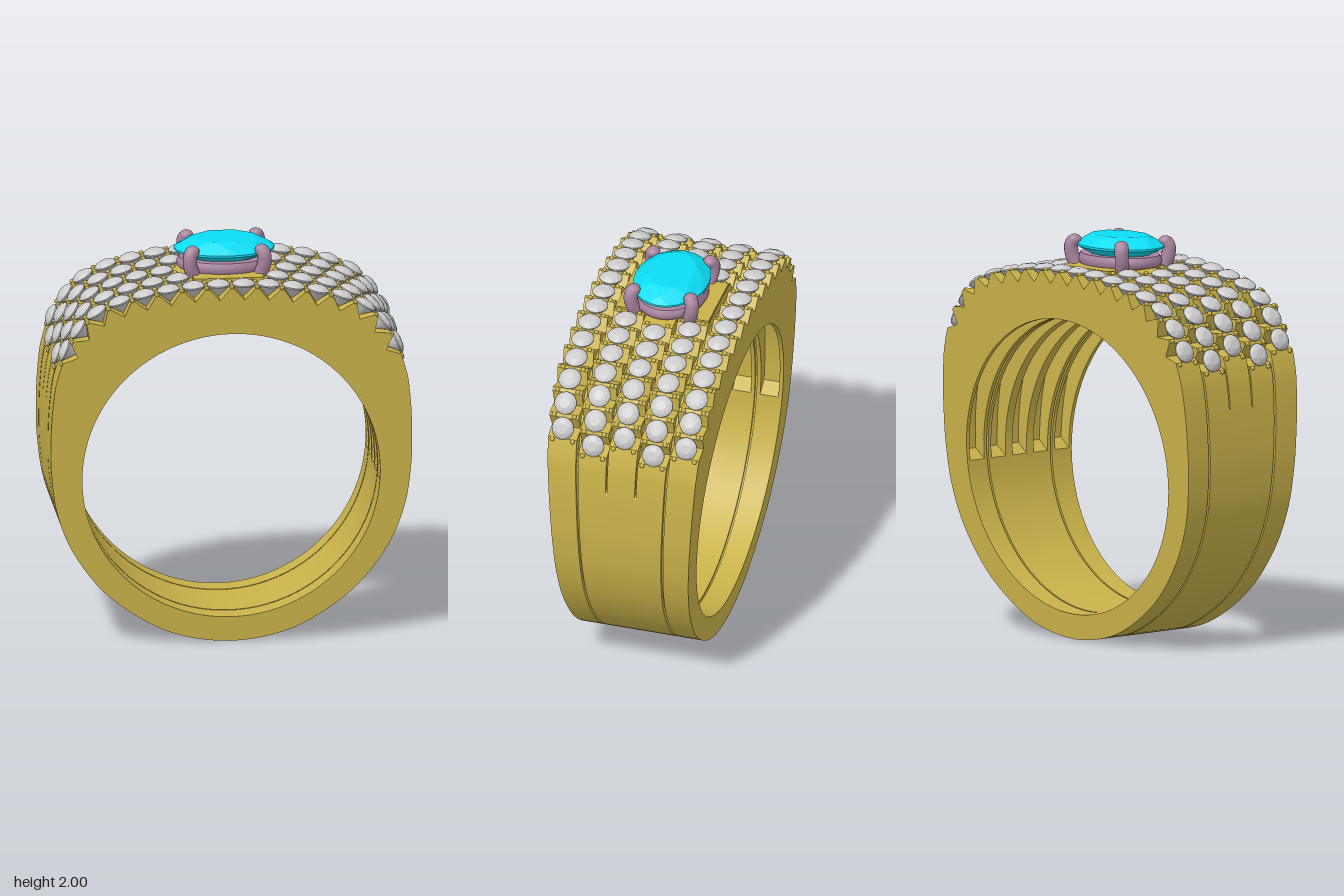
import * as THREE from 'three';
import { toCreasedNormals } from 'three/addons/utils/BufferGeometryUtils.js';
import { ConvexGeometry } from 'three/addons/geometries/ConvexGeometry.js';

const V2 = (x, y) => new THREE.Vector2(x, y);
const CY = 0.87;          // height of the finger hole centre
const R = 0.74;           // finger hole radius
const halfWidth = (y) => 0.297 + 0.062 * y; // band widens towards the top

const mirrorX = (pts) => [...pts, ...pts.slice(0, -1).reverse().map(([x, y]) => [-x, y])];
const spline = (pts) => new THREE.SplineCurve(pts.map(([x, y]) => V2(x, y)));

// Lower outline from right shoulder round to left shoulder
const shank = spline(mirrorX([[0.862, 1.41], [0.878, 1.34], [0.892, 1.2], [0.897, 1.05], [0.893, 0.9],
  [0.865, 0.7], [0.79, 0.5], [0.65, 0.3], [0.47, 0.15], [0.26, 0.045], [0, 0.004]]));
// Upper outline that carries the stones, left to right
const crown = spline(mirrorX([[-0.862, 1.41], [-0.85, 1.45], [-0.8, 1.57], [-0.7, 1.695],
  [-0.57, 1.765], [-0.4, 1.81], [-0.2, 1.838], [0, 1.845]]));
crown.arcLengthDivisions = 600;
const L = crown.getLength();
const STEP = L / 17;

// Point on the crown at arc distance s from the middle, raised by h
function onCrown(s, h = 0) {
  const t = THREE.MathUtils.clamp(0.5 + s / L, 0, 1);
  const p = crown.getPointAt(t), d = crown.getTangentAt(t);
  const n = V2(-d.y, d.x);
  return { p: p.addScaledVector(n, h), n };
}

// Stone rows: centre as a fraction of half width, and arc positions of the stones
const both = (a) => [...a.map((s) => -s).reverse(), ...a];
const rowSteps = (from, to) => both(Array.from({ length: to - from + 1 }, (_, i) => (from + i) * STEP));
const rows = [
  { u: 0, stones: rowSteps(2.5, 7.5) },
  { u: 0.4, stones: rowSteps(2, 8) },
  { u: -0.4, stones: rowSteps(2, 8) },
  { u: 0.81, stones: rowSteps(0.5, 7.5) },
  { u: -0.81, stones: rowSteps(0.5, 7.5) },
];

// Ring outline with V seats for the stones
function notchedOutline(stones) {
  const pts = shank.getPoints(96);
  const marks = [];
  for (let i = 1; i < 68; i++) {
    const s = (i / 68 - 0.5) * L;
    if (!stones.some((c) => Math.abs(c - s) < 0.054)) marks.push([s, 0]);
  }
  for (const c of stones) marks.push([c - 0.052, 0], [c, -0.06], [c + 0.052, 0]);
  marks.sort((a, b) => a[0] - b[0]);
  return [...pts, ...marks.map(([s, h]) => onCrown(s, h).p)];
}

// Plain outline sunk towards the centre, for the grooves between bands
function sunkOutline(depthAt) {
  return notchedOutline([]).map((p) => {
    const r = V2(p.x, p.y - CY), len = r.length();
    return V2(0, CY).addScaledVector(r, (len - depthAt(p.y)) / len);
  });
}

// Finger hole; a pocket hole is hollowed out in its upper half
function holePath(radius, pocket) {
  const pts = [];
  for (let i = 0; i < 96; i++) {
    const a = (i / 96) * Math.PI * 2, c = Math.cos(a), s = Math.sin(a);
    if (pocket && i <= 48) {
      const e = 2 / 2.4;
      pts.push(V2(0.8 * Math.sign(c) * Math.abs(c) ** e, CY + 0.86 * Math.abs(s) ** e));
    } else pts.push(V2(radius * c, CY + radius * s));
  }
  return new THREE.Path(pts);
}

// One slice of the ring between width fractions u0 and u1
function slice(outline, hole, u0, u1) {
  const shape = new THREE.Shape(outline);
  shape.holes.push(hole);
  const g = new THREE.ExtrudeGeometry(shape, { depth: u1 - u0, bevelEnabled: false, curveSegments: 1 });
  const p = g.attributes.position;
  for (let i = 0; i < p.count; i++) p.setZ(i, (p.getZ(i) + u0) * halfWidth(p.getY(i)));
  return toCreasedNormals(g, 0.45);
}

// Faceted gem: rings of [radius, y, sides, turn], scaled in x and z
function gemGeometry(rings, sx, sz) {
  const pts = [];
  for (const [r, y, n, turn] of rings) {
    for (let i = 0; i < n; i++) {
      const a = ((i + turn) / n) * Math.PI * 2;
      pts.push(new THREE.Vector3(Math.cos(a) * r * sx, y, Math.sin(a) * r * sz));
    }
  }
  return new ConvexGeometry(pts);
}

export function createModel() {
  const root = new THREE.Group();
  const gold = new THREE.MeshStandardMaterial({ color: 0xc9b24a });
  const mauve = new THREE.MeshStandardMaterial({ color: 0xa9859f });
  const grey = new THREE.MeshStandardMaterial({ color: 0xcccccc, flatShading: true });
  const blue = new THREE.MeshStandardMaterial({ color: 0x0cdcf2, flatShading: true });
  const add = (parent, name, geo, mat) => {
    const m = new THREE.Mesh(geo, mat);
    m.name = name;
    parent.add(m);
    return m;
  };

  // Five bands, each hollowed from inside between two ribs
  const band = new THREE.Group();
  band.name = 'band';
  root.add(band);
  for (const { u, stones } of rows) {
    const outline = notchedOutline(stones), w = 0.19;
    add(band, 'rib', slice(outline, holePath(R), u - w, u - 0.135), gold);
    add(band, 'hollowBand', slice(outline, holePath(R, true), u - 0.135, u + 0.135), gold);
    add(band, 'rib', slice(outline, holePath(R), u + 0.135, u + w), gold);
  }
  // Grooves between the bands; the inner pair fades out below the shoulder
  for (const side of [-1, 1]) {
    const inner = sunkOutline((y) => (y > 1.42 ? 0.05 : y > 1.22 ? 0.018 : 0));
    const outer = sunkOutline((y) => (y > 1.42 ? 0.05 : 0.02));
    add(band, 'innerGroove', slice(inner, holePath(R), side * 0.2 - 0.0105, side * 0.2 + 0.0105), gold);
    add(band, 'outerGroove', slice(outer, holePath(R + 0.012), side * 0.605 - 0.0155, side * 0.605 + 0.0155), gold);
  }

  // Small round stones with prongs in the gaps
  const pave = new THREE.Group();
  pave.name = 'smallStones';
  root.add(pave);
  const stoneGeo = gemGeometry([[0.026, 0.024, 8, 0], [0.045, 0.016, 8, 0.5], [0.057, 0.004, 16, 0],
    [0.057, -0.002, 16, 0], [0.003, -0.058, 4, 0]], 1, 1);
  const prongGeo = new THREE.CapsuleGeometry(0.012, 0.045, 3, 8);
  const place = (mesh, s, z, h) => {
    const { p, n } = onCrown(s, h);
    mesh.position.set(p.x, p.y, z(p.y));
    mesh.rotation.z = Math.atan2(-n.x, n.y);
  };
  for (const { u, stones } of rows) {
    for (const s of stones) {
      place(add(pave, 'smallStone', stoneGeo, grey), s, (y) => u * halfWidth(y), 0.002);
      for (const ds of [-0.5, 0.5]) {
        for (const dz of [-1, 1]) {
          if (ds < 0 && stones.some((c) => Math.abs(c - s + STEP) < 0.01)) continue; // shared with neighbour
          place(add(pave, 'smallProng', prongGeo, gold), s + ds * STEP,
            (y) => u * halfWidth(y) + dz * 0.052, -0.022);
        }
      }
    }
  }

  // Flat plate under the centre setting
  add(root, 'settingPlate', new THREE.BoxGeometry(0.35, 0.08, 0.48), gold).position.y = 1.812;

  // Oval gallery ring of the setting
  const setting = new THREE.Group();
  setting.name = 'centreSetting';
  root.add(setting);
  const profile = [[0.72, 1.85], [0.95, 1.85], [1, 1.865], [1, 1.885], [0.95, 1.905], [0.72, 1.905], [0.72, 1.85]];
  const gallery = new THREE.LatheGeometry(profile.map(([x, y]) => V2(x, y)), 48);
  gallery.scale(0.235, 1, 0.18);
  add(setting, 'gallery', toCreasedNormals(gallery, 0.7), mauve);

  // Four claws bending over the gem
  for (const sx of [-1, 1]) {
    for (const sz of [-1, 1]) {
      const path = new THREE.CatmullRomCurve3([[0.17, 1.85, 0.142], [0.184, 1.9, 0.155],
        [0.184, 1.945, 0.157], [0.172, 1.968, 0.147]].map(([x, y, z]) => new THREE.Vector3(sx * x, y, sz * z)));
      add(setting, 'claw', new THREE.TubeGeometry(path, 12, 0.035, 14), mauve);
      const tip = add(setting, 'clawTip', new THREE.SphereGeometry(0.035, 14, 10), mauve);
      tip.position.copy(path.getPoint(1));
      tip.scale.y = 0.8;
    }
  }

  // Oval centre gem
  add(root, 'centreGem', gemGeometry([[0.64, 2.0, 8, 0.5], [0.85, 1.978, 8, 0], [1, 1.95, 24, 0],
    [1, 1.94, 24, 0], [0.6, 1.895, 8, 0.5], [0.04, 1.86, 4, 0]], 0.25, 0.188), blue);

  return root;
}
